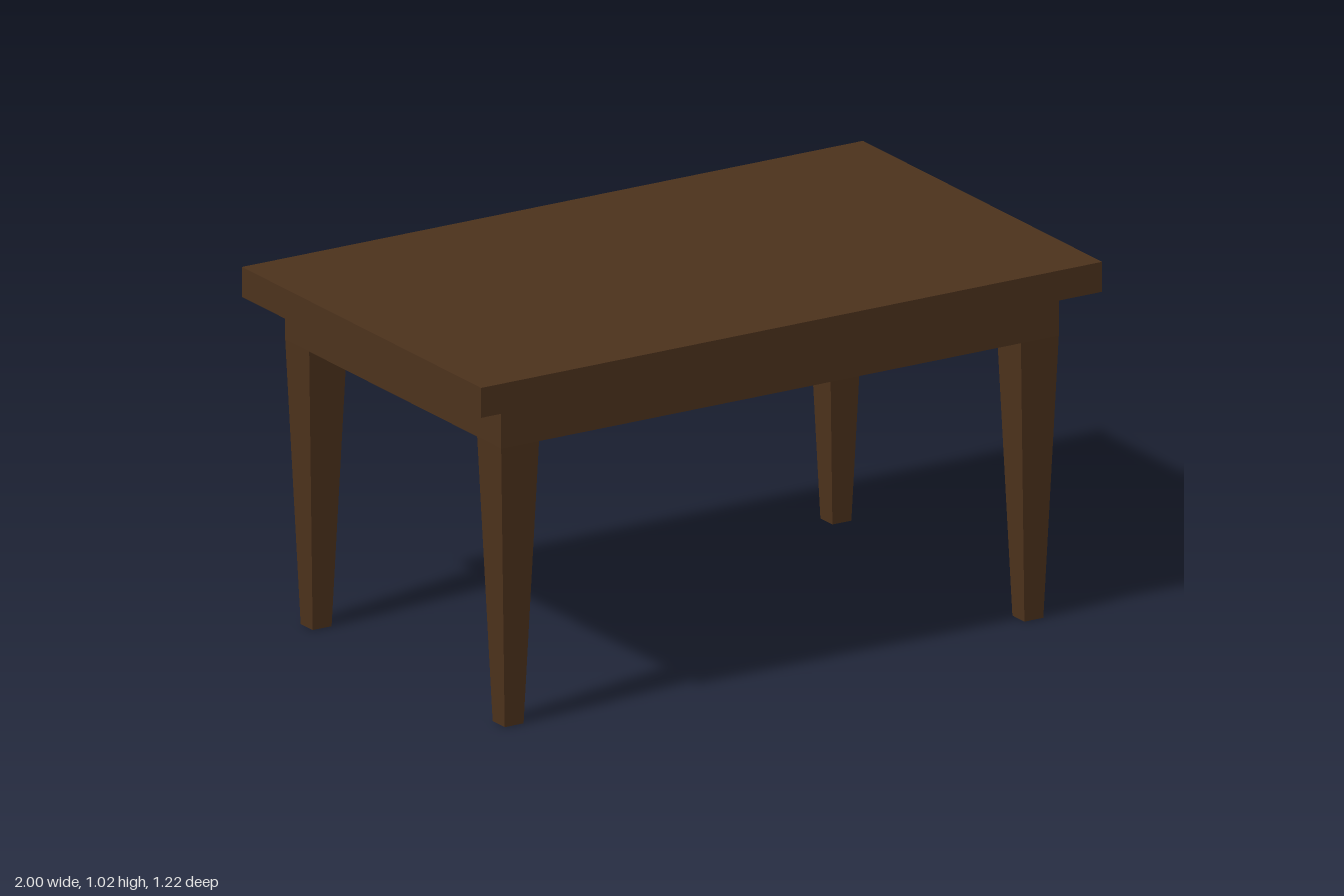
import * as THREE from 'three';

const wood = new THREE.MeshStandardMaterial({ color: 0x4c321c, flatShading: true });

// Box given by its size and its bottom height
function slab(name, w, h, d, y) {
  const mesh = new THREE.Mesh(new THREE.BoxGeometry(w, h, d), wood);
  mesh.name = name;
  mesh.position.y = y + h / 2;
  return mesh;
}

// Square leg that narrows to half its width at the floor
function taperedLeg(width, height) {
  const geo = new THREE.BoxGeometry(width, height, width);
  const p = geo.attributes.position;
  for (let i = 0; i < p.count; i++) {
    if (p.getY(i) < 0) p.setXYZ(i, p.getX(i) / 2, p.getY(i), p.getZ(i) / 2);
  }
  geo.translate(0, height / 2, 0);
  geo.computeVertexNormals();
  return geo;
}

export function createModel() {
  const table = new THREE.Group();
  table.name = 'table';

  const legHeight = 0.814, apronTop = 0.938, top = 1.024;
  const apronW = 1.796, apronD = 1.098, legW = 0.122;

  table.add(slab('tabletop', 2, top - apronTop, 1.216, apronTop));
  table.add(slab('apron', apronW, apronTop - legHeight, apronD, legHeight));

  // Legs flush with the apron corners
  const legGeo = taperedLeg(legW, legHeight);
  for (const [sx, side] of [[1, 'Left'], [-1, 'Right']]) {
    for (const [sz, end] of [[1, 'front'], [-1, 'back']]) {
      const leg = new THREE.Mesh(legGeo, wood);
      leg.name = `${end}${side}Leg`;
      leg.position.set(sx * (apronW - legW) / 2, 0, sz * (apronD - legW) / 2);
      table.add(leg);
    }
  }
  return table;
}
